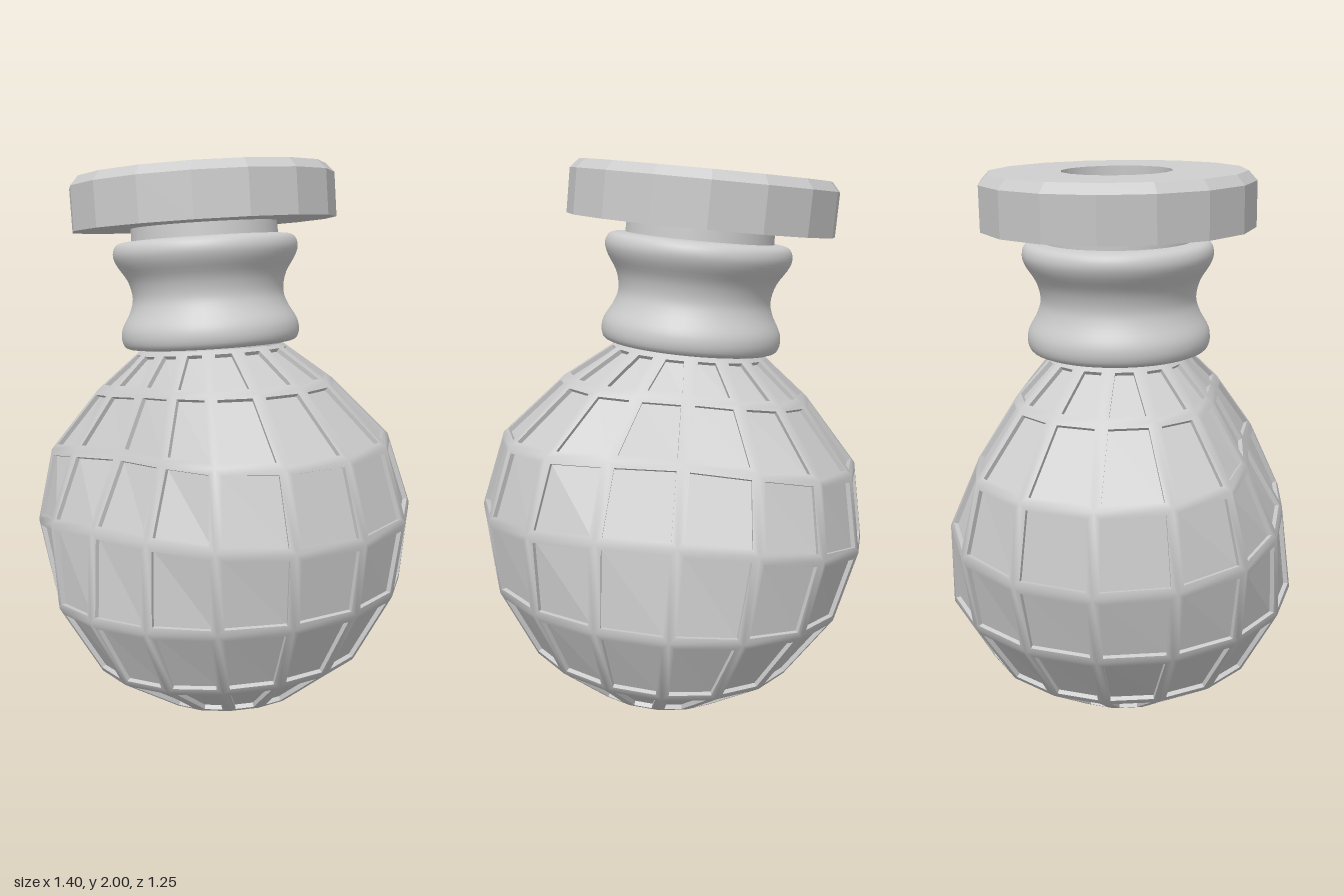
import * as THREE from 'three';
import { mergeVertices, toCreasedNormals } from 'three/addons/utils/BufferGeometryUtils.js';

const SIDES = 16;
const BAR = 0.022;   // half width of a lattice bar
const DEPTH = 0.016; // how far the panels sit below the bars

// Body rings, bottom to top: height, radius, half depth in z, lift of front and back
const RINGS = [
  [0.055, 0.266, 0.27, 0], [0.2, 0.485, 0.5, 0], [0.44, 0.643, 0.625, 0.012], [0.695, 0.702, 0.59, 0.07],
  [0.97, 0.645, 0.45, 0.04], [1.2, 0.44, 0.34, 0.01], [1.34, 0.262, 0.235, 0],
];

// Point on a body ring: round at the sides, flattened at front and back
function ringPoint([h, r, depth, lift], i) {
  const a = (i / SIDES) * Math.PI * 2;
  const s = Math.sin(a);
  const k = 1 - depth / r;
  return new THREE.Vector3(r * Math.cos(a), h + lift * s * s, r * (s - k * s ** 5));
}

function fromPoints(points) {
  return new THREE.BufferGeometry().setFromPoints(points);
}

function quad(out, a, b, c, d) {
  out.push(a, b, c, a, c, d);
}

// Raised lattice and recessed panels, one cell at a time
function buildBody() {
  const frame = [], walls = [], panels = [];
  for (let j = 0; j < RINGS.length - 1; j++) {
    for (let i = 0; i < SIDES; i++) {
      const p = [ringPoint(RINGS[j], i), ringPoint(RINGS[j + 1], i),
        ringPoint(RINGS[j + 1], i + 1), ringPoint(RINGS[j], i + 1)];
      const normal = p[2].clone().sub(p[0]).cross(p[3].clone().sub(p[1])).normalize();
      const up = BAR / p[0].distanceTo(p[1]);
      const at = (u, v) => p[0].clone().lerp(p[3], u).lerp(p[1].clone().lerp(p[2], u), v);
      const lowU = BAR / p[0].distanceTo(p[3]);
      const highU = BAR / p[1].distanceTo(p[2]);
      const rim = [at(lowU, up), at(highU, 1 - up), at(1 - highU, 1 - up), at(1 - lowU, up)];
      const floor = rim.map((q) => q.clone().addScaledVector(normal, -DEPTH));
      for (let e = 0; e < 4; e++) {
        const n = (e + 1) % 4;
        quad(frame, p[e], p[n], rim[n], rim[e]);
        quad(walls, rim[e], rim[n], floor[n], floor[e]);
      }
      quad(panels, ...floor);
    }
  }
  // Closed, shallow cone under the lowest ring
  const tip = new THREE.Vector3(0, 0, 0);
  for (let i = 0; i < SIDES; i++) {
    frame.push(tip, ringPoint(RINGS[0], i), ringPoint(RINGS[0], i + 1));
  }
  const lattice = mergeVertices(fromPoints(frame));
  lattice.computeVertexNormals();
  const flat = [walls, panels].map((list) => {
    const g = fromPoints(list);
    g.computeVertexNormals();
    return g;
  });
  return [lattice, ...flat];
}

function lathe(profile, sides) {
  return new THREE.LatheGeometry(profile.map(([r, h]) => new THREE.Vector2(r, h)), sides, Math.PI / 2);
}

export function createModel() {
  const model = new THREE.Group();
  model.name = 'flask';
  // Everything leans along one tilted axis
  const leaning = new THREE.Group();
  leaning.name = 'leaningFlask';
  leaning.position.set(0.062, 0.005, 0);
  leaning.rotation.z = 0.092;
  model.add(leaning);

  const smooth = new THREE.MeshStandardMaterial({ color: 0xcccccc, side: THREE.DoubleSide });
  const faceted = new THREE.MeshStandardMaterial({ color: 0xcccccc, side: THREE.DoubleSide, flatShading: true });
  const add = (name, geometry, material) => {
    const mesh = new THREE.Mesh(geometry, material);
    mesh.name = name;
    leaning.add(mesh);
    return mesh;
  };

  const [lattice, walls, panels] = buildBody();
  add('bodyLattice', lattice, smooth);
  add('panelRecesses', walls, faceted);
  add('bodyPanels', panels, faceted);

  // Short neck between body and collar
  add('lowerNeck', lathe([[0.262, 1.33], [0.25, 1.4]], 32), smooth).scale.z = 0.9;

  // Waisted collar with rounded lips
  const curve = new THREE.SplineCurve([[0.19, 1.345], [0.29, 1.347], [0.318, 1.37], [0.317, 1.42], [0.285, 1.48],
    [0.272, 1.53], [0.285, 1.59], [0.322, 1.65], [0.332, 1.69], [0.315, 1.722], [0.265, 1.73], [0.19, 1.73],
  ].map(([r, h]) => new THREE.Vector2(r, h)));
  add('collar', new THREE.LatheGeometry(curve.getPoints(40), 48), smooth);

  add('upperNeck', lathe([[0.265, 1.71], [0.262, 1.79]], 32), smooth);

  // Faceted flange with a bevelled top edge and a central hole
  const flange = lathe([[0.19, 1.775], [0.475, 1.775], [0.475, 1.93], [0.445, 1.963], [0.192, 1.963]], SIDES);
  add('flange', toCreasedNormals(flange, 0.2), faceted);

  // Bore running down into the body
  const bore = lathe([[0.192, 1.963], [0.185, 1.7], [0.185, 1.36], [0.16, 0.9], [0.15, 0.2], [0, 0.2]], SIDES);
  add('bore', toCreasedNormals(bore, 0.6), smooth);

  return model;
}
